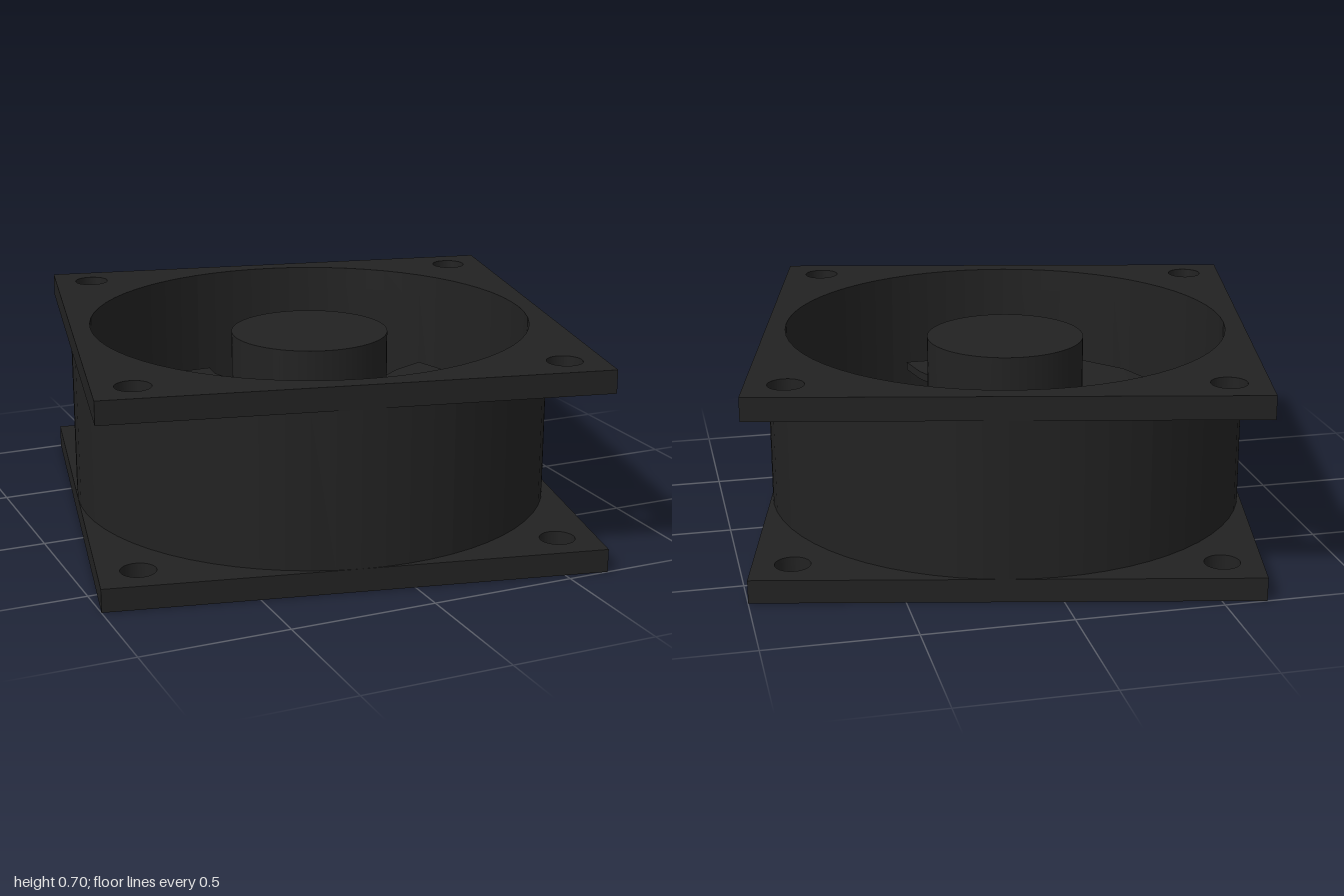
import * as THREE from 'three';

const HOLE_R = 0.775, HALF = 0.841, HEIGHT = 0.70, PLATE = 0.08;
const black = new THREE.MeshStandardMaterial({ color: 0x222222 });
black.name = 'matte black';

function add(parent, name, geometry) {
  const mesh = new THREE.Mesh(geometry, black);
  mesh.name = name;
  parent.add(mesh);
  return mesh;
}

function circleHole(x, y, r) {
  return new THREE.Path().absarc(x, y, r, 0, Math.PI * 2, true);
}

// Extrudes a flat shape upwards from y = 0
function slab(shape, height, curveSegments = 32) {
  const g = new THREE.ExtrudeGeometry(shape, { depth: height, bevelEnabled: false, curveSegments });
  return g.rotateX(-Math.PI / 2);
}

// Square mounting plate with the air opening and four screw holes
function plateGeometry() {
  const s = new THREE.Shape();
  s.moveTo(-HALF, -HALF).lineTo(HALF, -HALF).lineTo(HALF, HALF).lineTo(-HALF, HALF).closePath();
  s.holes.push(circleHole(0, 0, HOLE_R));
  for (const x of [-0.707, 0.707]) for (const y of [-0.707, 0.707]) s.holes.push(circleHole(x, y, 0.06));
  return slab(s, PLATE);
}

// Folded blade: a flat upper panel and a steep trailing panel meeting at a ridge
function bladeGeometry() {
  const thick = 0.03;
  const point = ([r, deg, y]) => {
    const a = THREE.MathUtils.degToRad(deg);
    return [r * Math.sin(a), y, -r * Math.cos(a)];
  };
  // [radius, clockwise angle, height]
  const ridge = point([0.61, 31, 0.35]);
  const outline = [
    [0.26, 4, 0.36], [0.61, -1.5, 0.36], [0.745, 0, 0.36], [0.745, 18, 0.35], [0.745, 36, 0.33],
    [0.61, 49, 0.13], [0.26, 52, 0.13], [0.26, 38, 0.35],
  ].map(point);
  const low = ([x, y, z]) => [x, y - thick, z];
  const pos = [];
  outline.forEach((a, i) => {
    const b = outline[(i + 1) % outline.length];
    pos.push(...ridge, ...b, ...a);
    pos.push(...low(ridge), ...low(a), ...low(b));
    pos.push(...a, ...b, ...low(b), ...a, ...low(b), ...low(a));
  });
  const g = new THREE.BufferGeometry();
  g.setAttribute('position', new THREE.Float32BufferAttribute(pos, 3));
  g.computeVertexNormals();
  return g;
}

export function createModel() {
  const model = new THREE.Group();
  model.name = 'coolingFan';

  // Housing, turned slightly about the vertical axis
  const housing = new THREE.Group();
  housing.name = 'housing';
  housing.rotation.y = -0.2126;
  model.add(housing);

  const plate = plateGeometry();
  add(housing, 'bottomPlate', plate);
  add(housing, 'topPlate', plate).position.y = HEIGHT - PLATE;

  const ring = new THREE.Shape().absarc(0, 0, HALF, 0, Math.PI * 2, false);
  ring.holes.push(circleHole(0, 0, HOLE_R));
  add(housing, 'barrel', slab(ring, HEIGHT - 2 * PLATE)).position.y = PLATE;

  // Crossed support struts under the hub
  for (const side of [-1, 1]) {
    const strut = add(housing, 'strut', new THREE.BoxGeometry(1.56, PLATE, 0.075));
    strut.position.y = PLATE / 2;
    strut.rotation.y = side * Math.PI / 4;
  }

  // Rotor: hub and seven blades
  const rotor = new THREE.Group();
  rotor.name = 'rotor';
  model.add(rotor);
  add(rotor, 'hub', new THREE.CylinderGeometry(0.277, 0.277, 0.545, 64)).position.y = 0.3825;

  const blade = bladeGeometry();
  for (let i = 0; i < 7; i++) {
    add(rotor, 'blade', blade).rotation.y = -THREE.MathUtils.degToRad(7.4) - i * Math.PI * 2 / 7;
  }
  return model;
}
